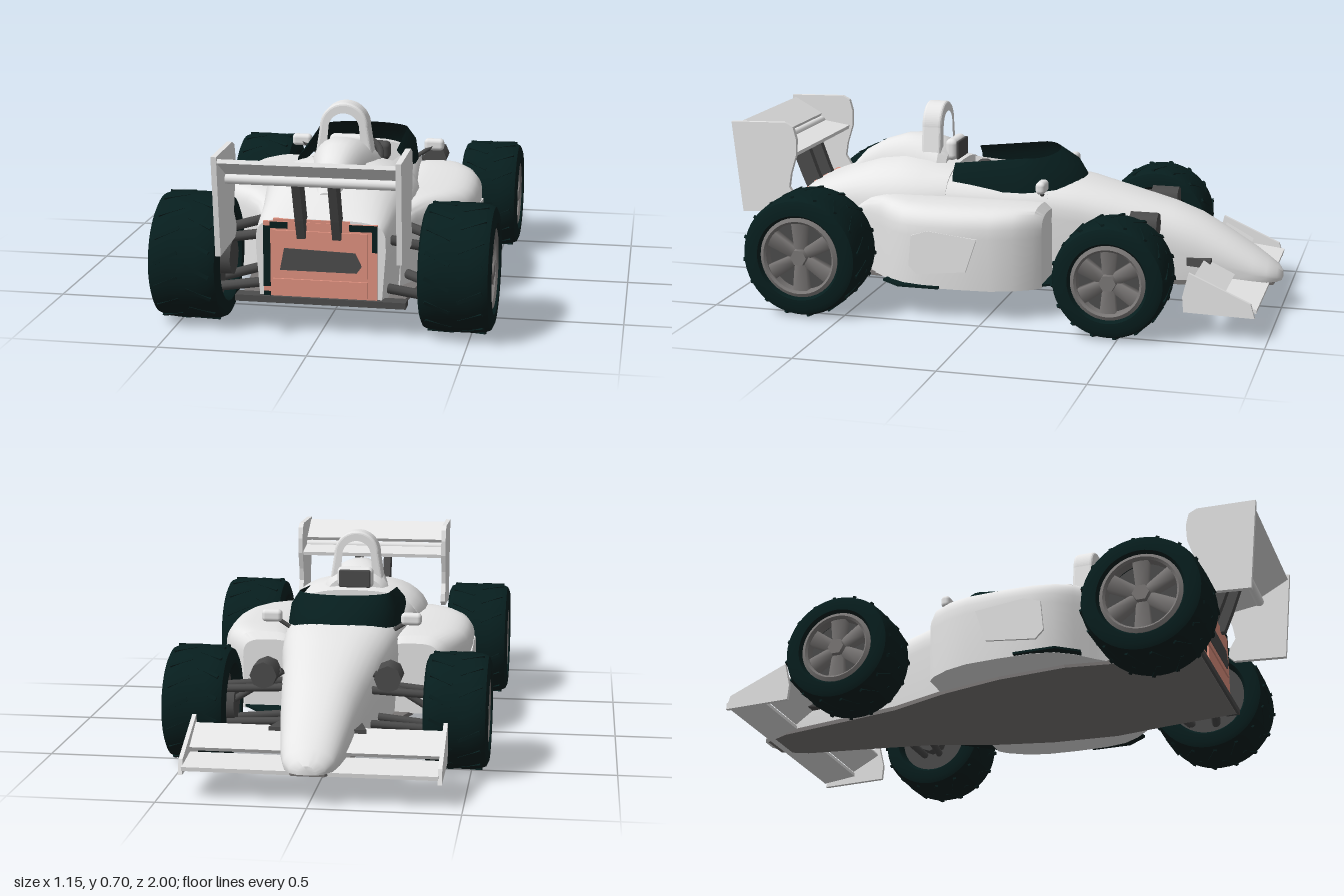
import * as THREE from 'three';
import { toCreasedNormals } from 'three/addons/utils/BufferGeometryUtils.js';
import { RoundedBoxGeometry } from 'three/addons/geometries/RoundedBoxGeometry.js';

const mat = (name, color, side = THREE.FrontSide) => {
  const m = new THREE.MeshStandardMaterial({ color, side });
  m.name = name;
  return m;
};
const V = (x, y, z) => new THREE.Vector3(x, y, z);

// Closed cross-section: flat floor, sloped wall, rounded top; an optional cut opens a cockpit well
function ring({ z, w, wb = w * 0.94, yb = 0.11, ym, top, n = 2.5, cx = 0, cut = 0 }) {
  const half = [[wb, yb]];
  const at = (a) => [w * Math.max(0, Math.cos(a)) ** (2 / n), ym + (top - ym) * Math.sin(a) ** (2 / n)];
  const end = cut ? Math.acos((cut / w) ** (n / 2)) : Math.PI / 2;
  for (let j = 0; j <= 9; j++) {
    if (!cut) half.push(at((j / 9) * end));
    else if (j <= 5) half.push(at((j / 5) * end));
    else half.push([(cut - 0.01) * (9 - j) / 3, 0.25]);
  }
  half[10][0] = 0;
  const left = half.slice(0, 10).reverse().map(([x, y]) => [-x, y]);
  return [...half, ...left].map(([x, y]) => V(x + cx, y, z));
}

// Skin a list of rings running along +z and close both ends
function loft(rings, crease = 0.6) {
  const n = rings[0].length, pos = [], idx = [];
  rings.flat().forEach((p) => pos.push(p.x, p.y, p.z));
  for (let i = 0; i < rings.length - 1; i++) for (let j = 0; j < n; j++) {
    const a = i * n + j, b = i * n + (j + 1) % n;
    idx.push(a, b, a + n, b, b + n, a + n);
  }
  [rings[0], rings[rings.length - 1]].forEach((r, e) => {
    const c = r.reduce((s, p) => s.add(p), V(0, 0, 0)).divideScalar(n), k = pos.length / 3;
    pos.push(c.x, c.y, c.z);
    const base = e ? (rings.length - 1) * n : 0;
    for (let j = 0; j < n; j++) {
      const a = base + j, b = base + (j + 1) % n;
      idx.push(k, e ? a : b, e ? b : a);
    }
  });
  const g = new THREE.BufferGeometry();
  g.setAttribute('position', new THREE.Float32BufferAttribute(pos, 3));
  g.setIndex(idx);
  return toCreasedNormals(g, crease);
}

export function createModel() {
  const white = mat('bodyWhite', 0xe6e6e6), dark = mat('darkGrey', 0x4c4c4c);
  const green = mat('tyreGreen', 0x071e1e), rimGrey = mat('rimGrey', 0x7a7776, THREE.DoubleSide);
  const salmon = mat('salmon', 0xe09280), glass = mat('screenGreen', 0x071e1e, THREE.DoubleSide);
  const lining = mat('cockpitGrey', 0x9c9c9c);
  const car = new THREE.Group();
  car.name = 'racingCar';

  const add = (name, geo, m, p = [0, 0, 0], parent = car) => {
    const mesh = new THREE.Mesh(geo, m);
    mesh.name = name;
    mesh.position.set(...p);
    parent.add(mesh);
    return mesh;
  };
  const box = (name, s, p, m, parent) => add(name, new THREE.BoxGeometry(...s), m, p, parent);
  const soft = (name, s, p, m, r = 0.015) => add(name, new RoundedBoxGeometry(...s, 3, r), m, p);
  const bar = (name, a, b, r) => {
    const A = V(...a), B = V(...b);
    const mesh = add(name, new THREE.CylinderGeometry(r, r, A.distanceTo(B), 8), dark);
    mesh.position.copy(A).lerp(B, 0.5);
    mesh.quaternion.setFromUnitVectors(V(0, 1, 0), B.sub(A).normalize());
  };
  // Plate drawn in (z, y), thickness along x
  const sidePlate = (name, pts, x, t, m) => {
    const g = new THREE.ExtrudeGeometry(new THREE.Shape(pts.map(([z, y]) => new THREE.Vector2(-z, y))),
      { depth: t, bevelEnabled: false });
    add(name, g.rotateY(Math.PI / 2).translate(x - t / 2, 0, 0), m);
  };
  // Plate drawn in (x, z), thickness along y
  const flatPlate = (name, pts, y, t, m) => {
    const g = new THREE.ExtrudeGeometry(new THREE.Shape(pts.map(([x, z]) => new THREE.Vector2(x, -z))),
      { depth: t, bevelEnabled: false });
    add(name, g.rotateX(-Math.PI / 2).translate(0, y, 0), m);
  };

  // Nose, tub and engine cover: z, half width, wall height, top, roundness, cockpit cut
  const hull = [
    [-1, 0.03, 0.115, 0.14, 2], [-0.985, 0.06, 0.12, 0.16, 2], [-0.95, 0.085, 0.13, 0.185, 2],
    [-0.9, 0.1, 0.14, 0.22, 2.2], [-0.8, 0.118, 0.17, 0.28, 2.3], [-0.7, 0.135, 0.2, 0.335, 2.4],
    [-0.6, 0.15, 0.23, 0.37, 2.5], [-0.4, 0.178, 0.29, 0.42, 2.5], [-0.28, 0.2, 0.32, 0.447, 2.6],
    [-0.17, 0.213, 0.33, 0.462, 2.8], [-0.17, 0.213, 0.33, 0.462, 2.8, 0.15], [0, 0.23, 0.33, 0.468, 2.8, 0.155],
    [0.2, 0.255, 0.33, 0.48, 2.8, 0.15], [0.2, 0.255, 0.33, 0.485, 2.8], [0.3, 0.275, 0.33, 0.505, 2.6],
    [0.4, 0.275, 0.33, 0.51, 2.6], [0.5, 0.255, 0.32, 0.49, 2.7], [0.6, 0.24, 0.31, 0.455, 3],
    [0.7, 0.23, 0.3, 0.415, 3.6], [0.76, 0.22, 0.29, 0.39, 4.5]];
  add('bodyShell', loft(hull.map(([z, w, ym, top, n, cut]) => ring({ z, w, ym, top, n, cut }))), white);

  // Raised spine behind the roll hoop
  const spine = [[0.24, 0.12, 0.53], [0.27, 0.135, 0.56], [0.34, 0.12, 0.582], [0.42, 0.1, 0.575],
    [0.5, 0.078, 0.55], [0.58, 0.055, 0.505], [0.63, 0.04, 0.45]];
  add('engineSpine', loft(spine.map(([z, w, top]) => ring({ z, w, yb: 0.38, ym: 0.42, top, n: 2.4 }))), white);

  // Floor pan reaching from nose to tail
  const floor = [[0.055, -0.975], [0.1, -0.88], [0.145, -0.6], [0.18, -0.4], [0.26, -0.17], [0.31, 0.05],
    [0.33, 0.3], [0.3, 0.5], [0.27, 0.77]];
  flatPlate('floor', [...floor, ...floor.map(([x, z]) => [-x, z]).reverse()].reverse(), 0.098, 0.016, rimGrey);
  flatPlate('floorTrim', [[0.17, -0.42], [0.2, -0.17], [0.37, -0.17]], 0.115, 0.008, green);

  // Sidepods: z, outer reach, top
  const pod = [[-0.19, 0.36, 0.37], [-0.165, 0.39, 0.395], [-0.1, 0.43, 0.4], [-0.02, 0.455, 0.4], [0.1, 0.463, 0.4],
    [0.22, 0.462, 0.4], [0.3, 0.445, 0.4], [0.36, 0.405, 0.4], [0.42, 0.34, 0.395], [0.48, 0.285, 0.38], [0.56, 0.24, 0.34]];

  for (const s of [1, -1]) {
    add('sidepod', loft(pod.map(([z, W, top]) =>
      ring({ z, w: (W - 0.165) / 2, cx: s * (W + 0.165) / 2, ym: 0.3, top, n: 3.2 }))), white);
    sidePlate('sidepodPanel', [[0.02, 0.3], [0.06, 0.18], [0.24, 0.16], [0.27, 0.19], [0.26, 0.3], [0.2, 0.32]],
      s * 0.46, 0.009, white);
    flatPlate('sidepodSkirt', [[s * 0.44, 0.16], [s * 0.468, 0.16], [s * 0.468, 0.31], [s * 0.41, 0.385], [s * 0.38, 0.38]],
      0.111, 0.008, green);

    // Mirrors
    soft('mirror', [0.075, 0.045, 0.035], [s * 0.255, 0.455, -0.165], white);
    bar('mirrorStalk', [s * 0.19, 0.41, -0.15], [s * 0.25, 0.45, -0.155], 0.008);

    // Front suspension
    for (const [z, y] of [[-0.42, 0.28], [-0.53, 0.28], [-0.42, 0.16], [-0.53, 0.16]])
      bar('frontWishbone', [s * 0.13, y, z], [s * 0.4, y - 0.02, -0.475 + (z + 0.475) * 0.5], 0.014);
    bar('frontPushrod', [s * 0.16, 0.33, -0.5], [s * 0.38, 0.19, -0.48], 0.012);
    bar('frontDamper', [s * 0.215, 0.33, -0.58], [s * 0.215, 0.33, -0.48], 0.047);
    bar('frontHub', [s * 0.33, 0.2, -0.47], [s * 0.4, 0.2, -0.47], 0.06);

    // Rear suspension
    for (const [z, y] of [[0.5, 0.33], [0.7, 0.32], [0.5, 0.16], [0.7, 0.15]])
      bar('rearWishbone', [s * 0.2, y, z], [s * 0.4, y - 0.04, 0.645 + (z - 0.645) * 0.4], 0.017);
    bar('rearHub', [s * 0.325, 0.218, 0.645], [s * 0.4, 0.218, 0.645], 0.065);

    // Wing endplates and supports
    sidePlate('frontWingEndplate', [[-0.955, 0.08], [-0.71, 0.085], [-0.705, 0.14], [-0.725, 0.225], [-0.94, 0.13]],
      s * 0.425, 0.014, white);
    sidePlate('rearWingEndplate', [[1, 0.645], [0.79, 0.65], [0.76, 0.635], [0.748, 0.59], [0.75, 0.53], [0.772, 0.46],
      [0.78, 0.41], [0.755, 0.37], [0.75, 0.34], [0.77, 0.32], [0.965, 0.308]], s * 0.297, 0.018, white);
    sidePlate('rearWingStrut', [[0.72, 0.33], [0.79, 0.33], [0.82, 0.4], [0.87, 0.53], [0.8, 0.53], [0.76, 0.42]],
      s * 0.06, 0.028, dark);
    const bracket = [[s * 0.1, -0.76], [s * 0.165, -0.76], [s * 0.14, -0.67], [s * 0.1, -0.67]];
    flatPlate('frontWingBracket', bracket, 0.17, 0.03, dark);
  }

  // Wing planes: box tilted about x, trailing edge up
  const plane = (name, width, chord, y, z, tilt) => {
    box(name, [width, 0.014, chord], [0, y, z], white).rotation.x = -tilt;
  };
  plane('frontWingMain', 0.84, 0.13, 0.11, -0.895, 0.12);
  plane('frontWingFlap', 0.84, 0.12, 0.165, -0.785, 0.5);
  plane('rearWingMain', 0.59, 0.125, 0.535, 0.825, 0.15);
  plane('rearWingFlap', 0.59, 0.125, 0.6, 0.935, 0.5);
  // Rounded trailing edge of the lower plane
  const lip = add('rearWingLip', new THREE.CylinderGeometry(0.017, 0.017, 0.59, 12), white, [0, 0.547, 0.88]);
  lip.rotation.z = Math.PI / 2;

  // Windscreen wrapped around the cockpit front: rows from base to lip
  const rows = [[0.206, 0.2, 0], [0.196, 0.16, 0.6], [0.165, 0.085, 1]], pos = [], idx = [], N = 32;
  rows.forEach(([w, f, h]) => {
    for (let i = 0; i <= N; i++) {
      const t = (i / N) * 2 - 1, a = THREE.MathUtils.clamp(t * 2, -1, 1) * Math.PI / 2;
      const back = Math.max(0, Math.abs(t) - 0.5) * 2;
      const base = 0.415 + 0.02 * Math.cos(a), edge = 0.535 - 0.03 * back;
      pos.push(w * Math.sin(a), base + (edge - base) * h, -0.08 - f * Math.cos(a) + 0.265 * back);
    }
  });
  for (let r = 0; r < 2; r++) for (let i = 0; i < N; i++) {
    const a = r * (N + 1) + i, b = a + N + 1;
    idx.push(a, b, a + 1, a + 1, b, b + 1);
  }
  const screen = new THREE.BufferGeometry();
  screen.setAttribute('position', new THREE.Float32BufferAttribute(pos, 3));
  screen.setIndex(idx);
  screen.computeVertexNormals();
  add('windscreen', screen, glass);

  // Cockpit
  box('cockpitLining', [0.28, 0.008, 0.36], [0, 0.256, 0.015], lining);
  soft('seat', [0.28, 0.14, 0.2], [0, 0.3, 0.07], dark, 0.04);
  soft('seatBack', [0.24, 0.2, 0.06], [0, 0.37, 0.145], dark, 0.025);
  soft('headrest', [0.14, 0.08, 0.045], [0, 0.53, 0.232], white, 0.02);
  soft('headrestPad', [0.12, 0.068, 0.012], [0, 0.528, 0.208], dark, 0.005);
  const steering = add('steeringWheel', new THREE.TorusGeometry(0.06, 0.013, 8, 24), dark, [0, 0.42, -0.1]);
  steering.rotation.x = -0.5;
  soft('dash', [0.18, 0.07, 0.06], [0, 0.43, -0.145], dark, 0.02);

  // Roll hoop
  const arch = (base, w, top, y0, P) => {
    P.moveTo(-base, y0);
    P.lineTo(-w, top - w);
    P.absarc(0, top - w, w, Math.PI, 0, true);
    P.lineTo(base, y0);
    P.closePath();
    return P;
  };
  const hoop = arch(0.1, 0.077, 0.692, 0.47, new THREE.Shape());
  hoop.holes.push(arch(0.067, 0.055, 0.665, 0.48, new THREE.Path()));
  add('rollHoop', new THREE.ExtrudeGeometry(hoop,
    { depth: 0.055, bevelSize: 0.01, bevelThickness: 0.01, bevelSegments: 3, curveSegments: 20 }), white, [0, 0, 0.272]);

  // Tail panel with broken green edging
  box('tailPanel', [0.385, 0.26, 0.012], [0, 0.25, 0.762], salmon);
  box('tailTopTrim', [0.26, 0.016, 0.012], [-0.03, 0.381, 0.759], salmon);
  for (const [x, y, w, h] of [[-0.181, 0.26, 0.024, 0.21], [-0.14, 0.368, 0.06, 0.022], [0.145, 0.368, 0.095, 0.022],
    [0.184, 0.325, 0.018, 0.075], [-0.181, 0.128, 0.024, 0.02]])
    box('tailEdging', [w, h, 0.008], [x, y, 0.766], green);
  box('tailUpperFrame', [0.32, 0.155, 0.01], [0, 0.274, 0.77], salmon);
  box('tailLowerStrip', [0.32, 0.055, 0.01], [0, 0.157, 0.77], salmon);
  const vent = new THREE.Shape([[-0.135, 0.216], [0.125, 0.216], [0.142, 0.24], [0.12, 0.285], [-0.12, 0.292]]
    .map((p) => new THREE.Vector2(...p)));
  add('tailVent', new THREE.ExtrudeGeometry(vent, { depth: 0.005, bevelEnabled: false }), dark, [0, 0, 0.773]);
  box('diffuserEdge', [0.58, 0.022, 0.05], [0, 0.112, 0.755], dark);

  // Wheels, built along +x with the outer face at +x
  const wheel = (name, R, h, rr, p, flip) => {
    const g = new THREE.Group();
    g.name = name;
    g.position.set(...p);
    g.rotation.y = flip ? Math.PI : 0;
    const lathe = (pts, seg = 48) => toCreasedNormals(
      new THREE.LatheGeometry(pts.map((q) => new THREE.Vector2(...q)), seg).rotateZ(-Math.PI / 2), 0.7);
    add('tyre', lathe([[rr, -h + 0.02], [rr + 0.012, -h], [R - 0.03, -h], [R - 0.012, -h + 0.008], [R - 0.003, -h + 0.03],
      [R, -h * 0.4], [R, h * 0.4], [R - 0.003, h - 0.03], [R - 0.012, h - 0.008], [R - 0.03, h], [rr + 0.012, h],
      [rr, h - 0.02], [rr, -h + 0.02]]), green, [0, 0, 0], g);
    for (let i = 0; i < 32; i++) {
      const s = i % 2 ? 1 : -1, pivot = new THREE.Group();
      pivot.name = 'treadPivot';
      pivot.rotation.x = (i / 32) * Math.PI * 2;
      g.add(pivot);
      box('treadRib', [h * 0.75, 0.008, 0.012], [s * h * 0.45, R - 0.003, 0], green, pivot).rotation.y = s * 0.45;
    }
    add('rimRing', lathe([[rr - 0.018, h - 0.05], [rr - 0.018, h - 0.012], [rr - 0.01, h - 0.005], [rr + 0.003, h - 0.012],
      [rr + 0.003, h - 0.05]], 40), rimGrey, [0, 0, 0], g);
    const disc = add('rimBack', new THREE.CylinderGeometry(rr, rr, h, 40), dark, [-h * 0.2, 0, 0], g);
    disc.rotation.z = Math.PI / 2;
    for (let i = 0; i < 6; i++) {
      const a = (i / 6) * Math.PI * 2;
      const spoke = add('spoke', new THREE.CylinderGeometry(0.034, 0.022, rr - 0.015, 4, 1).rotateY(Math.PI / 4)
        .scale(0.75, 1, 1.2), rimGrey, [h - 0.035, Math.cos(a) * rr / 2, Math.sin(a) * rr / 2], g);
      spoke.rotation.x = a;
    }
    const hub = add('hub', new THREE.CylinderGeometry(0.03, 0.036, 0.05, 6), rimGrey, [h - 0.03, 0, 0], g);
    hub.rotation.z = -Math.PI / 2;
    car.add(g);
  };
  for (const s of [1, -1]) {
    wheel('frontWheel', 0.202, 0.11, 0.128, [s * 0.45, 0.202, -0.468], s < 0);
    wheel('rearWheel', 0.218, 0.12, 0.142, [s * 0.455, 0.218, 0.645], s < 0);
  }
  return car;
}
